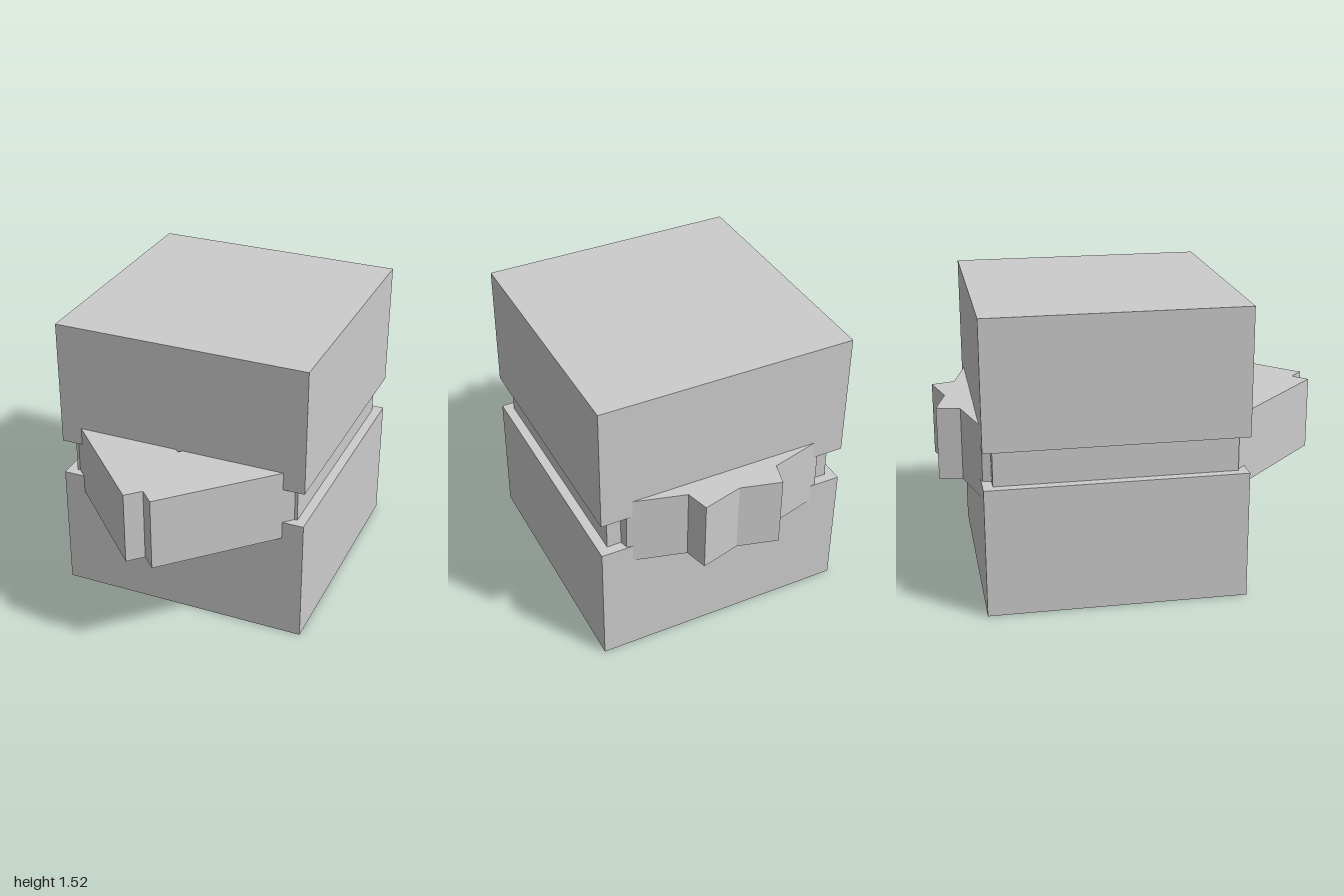
import * as THREE from 'three';

const material = new THREE.MeshStandardMaterial({ color: 0xcccccc, flatShading: true });

// Box given by its half width, y range and z range
function block(name, halfX, y0, y1, z0, z1) {
  const mesh = new THREE.Mesh(new THREE.BoxGeometry(2 * halfX, y1 - y0, z1 - z0), material);
  mesh.position.set(0, (y0 + y1) / 2, (z0 + z1) / 2);
  mesh.name = name;
  return mesh;
}

// Horizontal plate from half an outline of [x, z] points, mirrored across x = 0
function mirroredPlate(name, half, y0, y1) {
  const mirrored = half.filter(([x]) => x > 0).reverse().map(([x, z]) => [-x, z]);
  const shape = new THREE.Shape([...half, ...mirrored].map(([x, z]) => new THREE.Vector2(x, -z)));
  const geometry = new THREE.ExtrudeGeometry(shape, { depth: y1 - y0, bevelEnabled: false });
  geometry.rotateX(-Math.PI / 2);
  const mesh = new THREE.Mesh(geometry, material);
  mesh.position.y = y0;
  mesh.name = name;
  return mesh;
}

export function createModel() {
  const group = new THREE.Group();
  group.name = 'groovedBlock';

  // Two big blocks with a recessed core between them
  group.add(block('lowerBlock', 0.665, 0, 0.667, -0.81, 0.517));
  group.add(block('upperBlock', 0.665, 0.857, 1.52, -0.81, 0.517));
  group.add(block('core', 0.615, 0.667, 0.857, -0.76, 0.47));

  // Front latch: a chevron with a notched tip, its arms running into the block
  group.add(mirroredPlate('frontLatch',
    [[0, 0.93], [0.07, 1], [0.602, 0.468], [0.335, 0.2], [0, 0.535]], 0.573, 0.952));

  // Back hinge: two slightly tilted leaves with a raised knuckle on each
  group.add(mirroredPlate('backHinge',
    [[0, -0.945], [0.208, -1], [0.24, -0.88], [0.53, -0.802], [0.56, -0.69], [0, -0.69]], 0.573, 0.952));

  return group;
}
